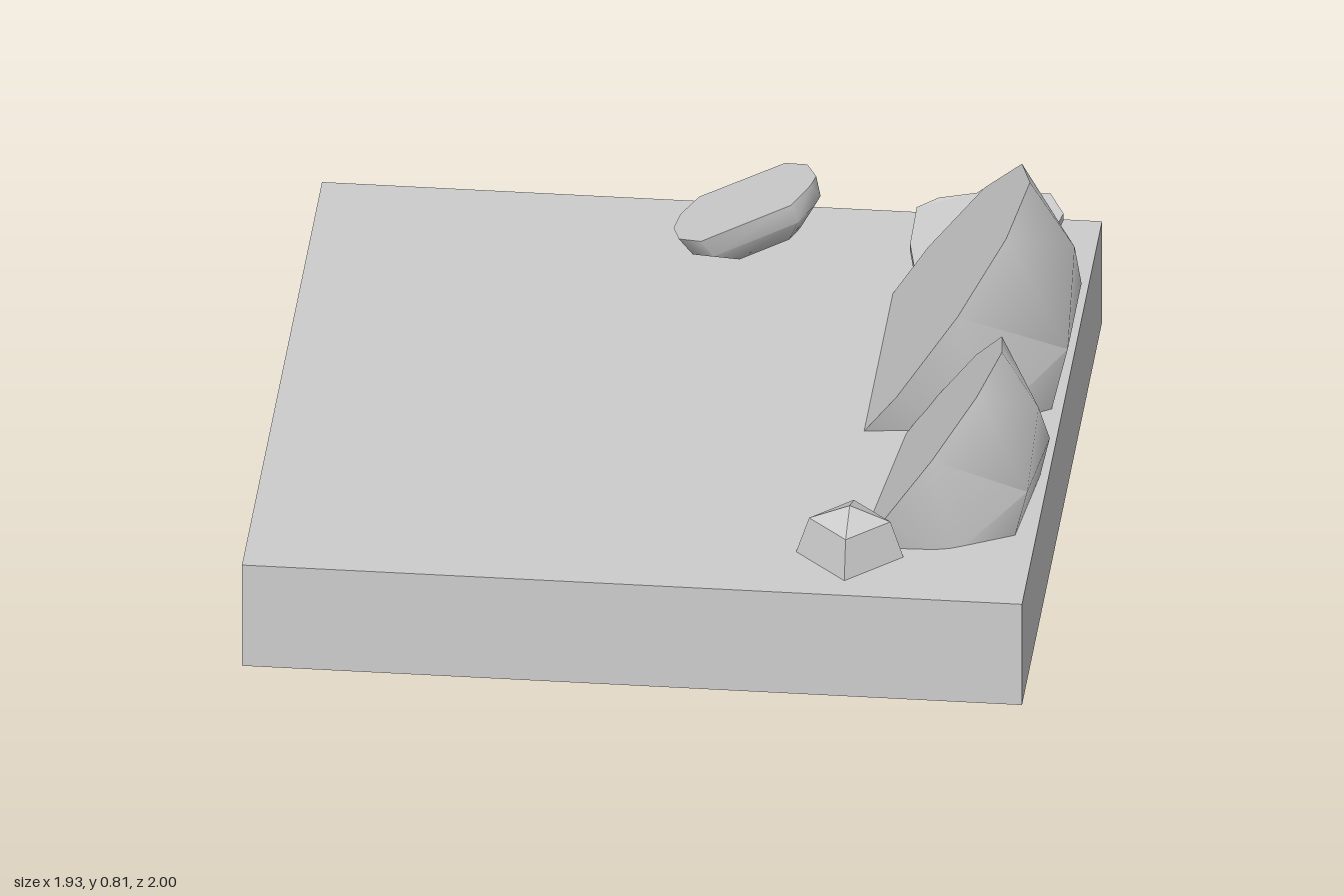
import * as THREE from 'three';
import { toCreasedNormals } from 'three/addons/utils/BufferGeometryUtils.js';
import { ConvexGeometry } from 'three/addons/geometries/ConvexGeometry.js';

const stone = new THREE.MeshStandardMaterial({ color: 0xcccccc, side: THREE.DoubleSide });
stone.name = 'grey stone';

const v = (x, y, z) => new THREE.Vector3(x, y, z);

function addMesh(group, name, geometry) {
  const mesh = new THREE.Mesh(geometry, stone);
  mesh.name = name;
  group.add(mesh);
  return mesh;
}

// Convex solid with soft facets and sharp rims
const hull = (points, crease = 1) => toCreasedNormals(new ConvexGeometry(points), crease);

// Leaning shell: flat oval face to -x, faceted dome to +x, cut off level below
function shellGeometry() {
  const points = [v(0.4, 0.235, 0)];
  for (let i = -3; i <= 3; i++) {
    const a = (i * Math.PI) / 6;
    points.push(v(0.29 * Math.cos(a), 0.41 * Math.cos(a), 0.375 * Math.sin(a)));
  }
  for (const s of [-1, 1]) {
    points.push(
      v(0.4, 0.04, 0.165 * s),
      v(0.36, -0.13, 0.19 * s),
      v(0.2, -0.13, 0.3 * s),
      v(-0.092, -0.13, 0.342 * s)
    );
  }
  return hull(points);
}

// Tilted pebble with a flat top: three shrinking rings below the outline
function pebbleGeometry() {
  const outline = [
    [-0.08, -0.68], [-0.07, -0.74], [-0.03, -0.8], [0.18, -0.82], [0.24, -0.77],
    [0.27, -0.69], [0.26, -0.65], [0.22, -0.58], [0, -0.555], [-0.06, -0.61],
  ];
  const cx = 0.095, cz = -0.69, cy = 0.42;
  const points = [];
  for (const [depth, scale] of [[0, 1], [0.055, 0.93], [0.11, 0.55]]) {
    for (const [x, z] of outline) {
      const dx = (x - cx) * scale;
      points.push(v(
        cx + dx + 0.42 * depth,
        cy + 0.457 * dx - 0.9 * depth,
        cz + (z - cz) * scale
      ));
    }
  }
  return hull(points, 0.9);
}

// Small square block, turned by 45 degrees, with a low pyramid cap
function blockGeometry() {
  const points = [v(0, 0.42, 0)];
  for (const [y, r] of [[0.265, 0.138], [0.38, 0.1]]) {
    points.push(v(r, y, 0), v(-r, y, 0), v(0, y, r), v(0, y, -r));
  }
  return hull(points, 0.3);
}

// Thin broken sheet with a ragged far edge, rising gently to the back
function sheetGeometry() {
  const outline = [
    [0.78, -0.44], [0.82, -0.65], [0.86, -0.87], [0.82, -0.95], [0.75, -0.94],
    [0.69, -1.0], [0.64, -0.93], [0.55, -0.9], [0.5, -0.86], [0.5, -0.7], [0.54, -0.5], [0.6, -0.44],
  ];
  const shape = new THREE.Shape(outline.map(([x, z]) => new THREE.Vector2(x, -z)));
  const geometry = new THREE.ExtrudeGeometry(shape, { depth: 0.02, bevelEnabled: false });
  geometry.rotateX(-Math.PI / 2);
  const p = geometry.attributes.position;
  for (let i = 0; i < p.count; i++) {
    const ripple = 0.005 * Math.sin(p.getX(i) * 50);
    p.setY(i, p.getY(i) + 0.276 + 0.08 * (-p.getZ(i) - 0.42) + ripple);
  }
  geometry.computeVertexNormals();
  return geometry;
}

export function createModel() {
  const model = new THREE.Group();
  model.name = 'shellGarden';

  // Ground slab, hollow and open underneath
  const slab = new THREE.BoxGeometry(1.92, 0.283, 1.92);
  const index = Array.from(slab.index.array);
  index.splice(18, 6);
  slab.setIndex(index);
  slab.clearGroups();
  addMesh(model, 'groundSlab', slab).position.set(-0.01, 0.1415, 0.04);

  // Two shells
  const shell = shellGeometry();
  addMesh(model, 'largeShell', shell).position.set(0.56, 0.4, -0.165);
  const small = addMesh(model, 'smallShell', shell);
  small.position.set(0.61, 0.365, 0.475);
  small.rotation.y = -0.1;
  small.scale.setScalar(0.83);

  // Loose pieces
  addMesh(model, 'block', blockGeometry()).position.set(0.505, 0, 0.795);
  addMesh(model, 'pebble', pebbleGeometry());
  addMesh(model, 'brokenSheet', sheetGeometry());
  return model;
}
